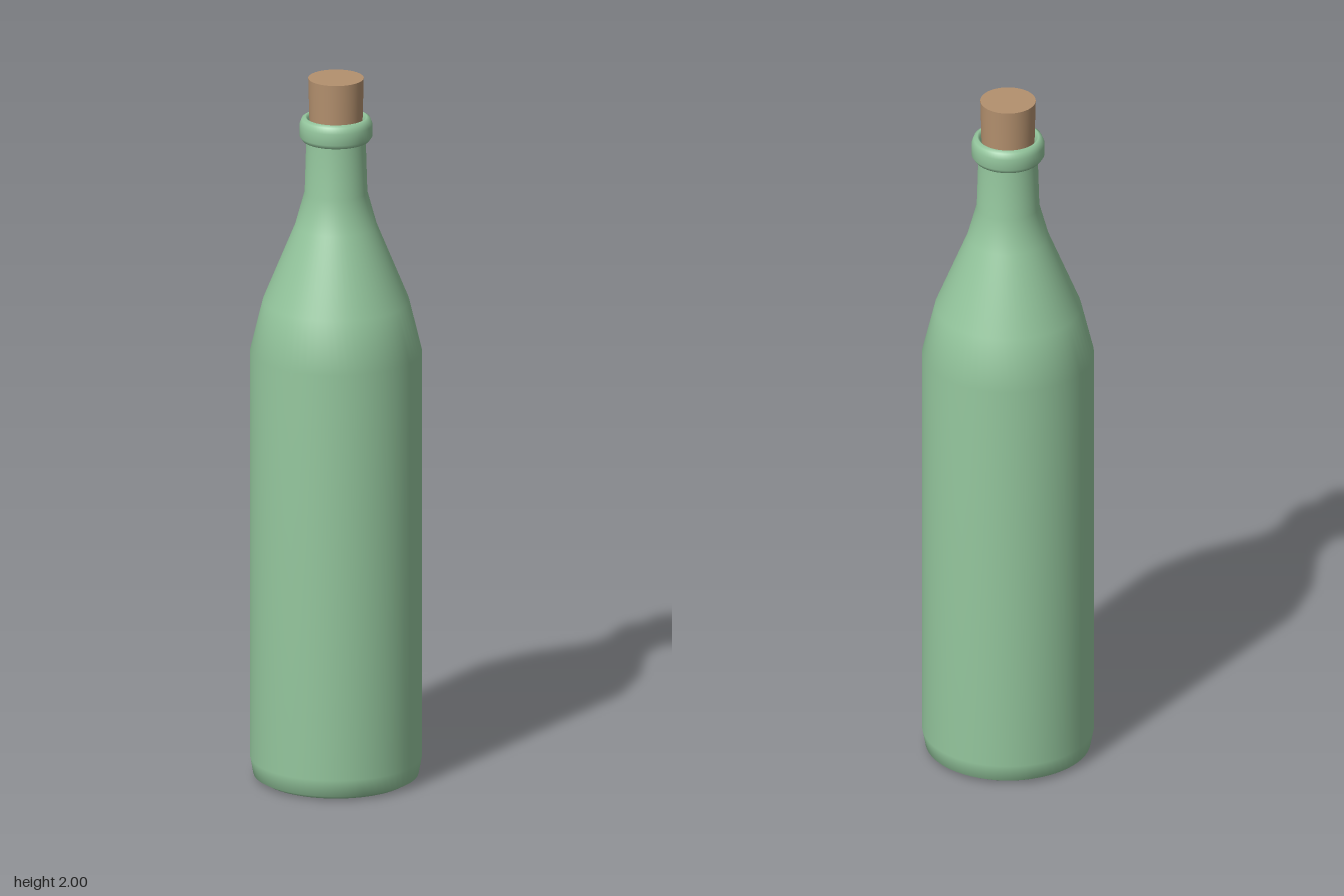
import * as THREE from 'three';

const SEGMENTS = 64;

// Revolve a profile of [radius, height] pairs, listed from the bottom up
function lathe(name, profile, material) {
  const points = profile.map(([r, y]) => new THREE.Vector2(r, y));
  const mesh = new THREE.Mesh(new THREE.LatheGeometry(points, SEGMENTS), material);
  mesh.name = name;
  return mesh;
}

export function createModel() {
  const glass = new THREE.MeshStandardMaterial({ color: 0x94c69d });
  glass.name = 'green glass';
  const corkMaterial = new THREE.MeshStandardMaterial({ color: 0xb3906e });
  corkMaterial.name = 'cork';

  const model = new THREE.Group();
  model.name = 'corkedBottle';

  // Hollow underside, straight body, sloping shoulder and neck
  model.add(lathe('bottleBody', [
    [0, 0.08], [0.08, 0.065], [0.15, 0.025], [0.19, 0.002], [0.205, 0],
    [0.226, 0.012], [0.235, 0.06], [0.235, 1.22],
    [0.2, 1.365], [0.112, 1.58], [0.086, 1.675], [0.081, 1.84],
  ], glass));

  // Rounded lip, turning inward to meet the cork
  model.add(lathe('lip', [
    [0.078, 1.82], [0.092, 1.824], [0.1, 1.836], [0.1, 1.868],
    [0.094, 1.884], [0.084, 1.89], [0.077, 1.884], [0.07, 1.86],
  ], glass));

  // Cork, slightly tapered towards the neck
  const cork = new THREE.Mesh(
    new THREE.CylinderGeometry(0.076, 0.072, 0.16, SEGMENTS), corkMaterial);
  cork.name = 'cork';
  cork.position.y = 1.92;
  model.add(cork);

  return model;
}
